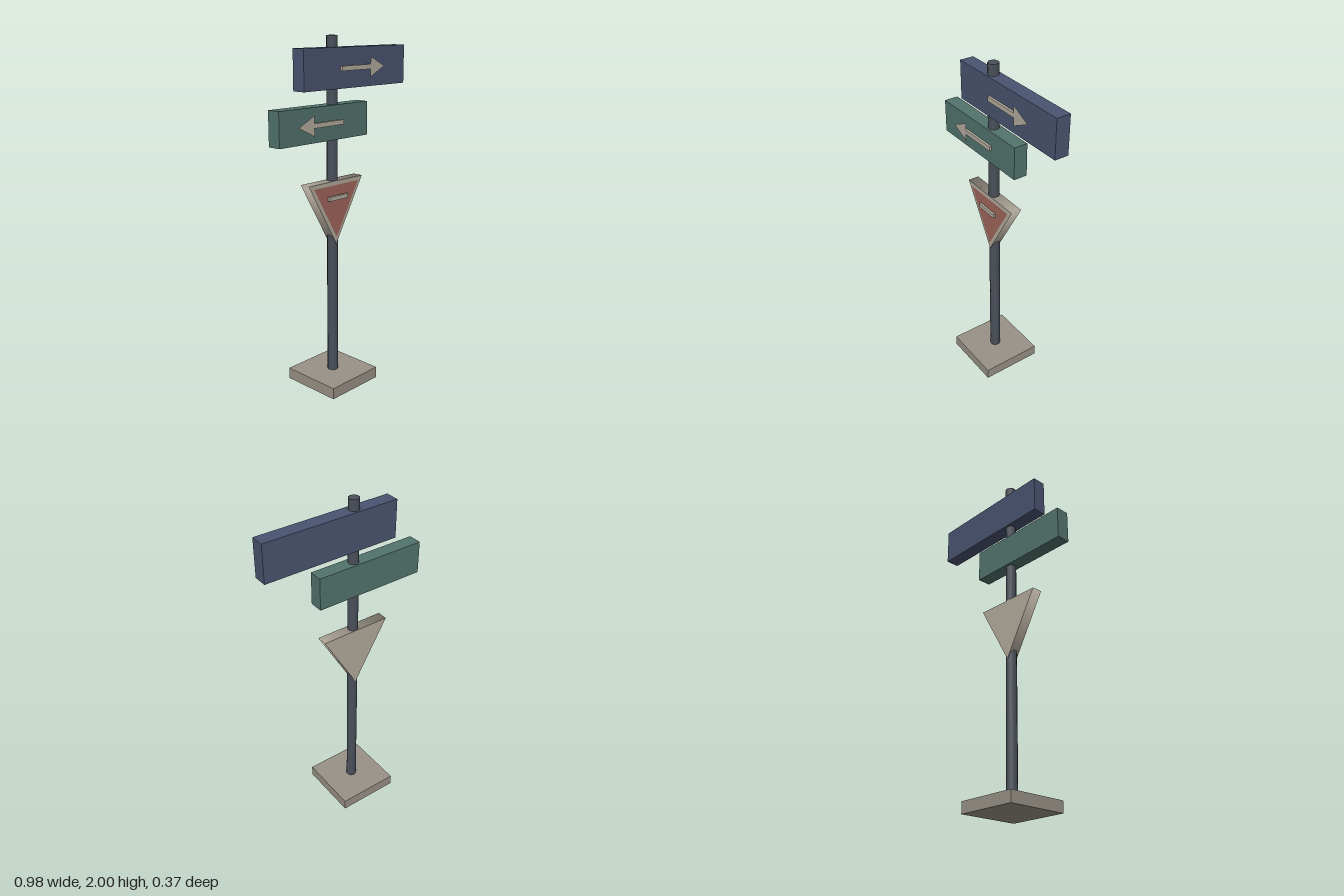
import * as THREE from 'three';

const mat = (color, extra = {}) => new THREE.MeshStandardMaterial({ color, ...extra });
const POLE_X = -0.071;

export function createModel() {
  const model = new THREE.Group();
  model.name = 'signpost';

  const steel = mat(0x4a505a);
  const stone = mat(0x989186);
  const cream = mat(0xb2aa9d);
  const creamFlat = mat(0xb2aa9d, { side: THREE.DoubleSide });
  const blue = mat(0x4a5470);
  const green = mat(0x52736d);
  const red = mat(0xa0665a, { side: THREE.DoubleSide });

  const add = (name, geometry, material, x, y, z = 0) => {
    const mesh = new THREE.Mesh(geometry, material);
    mesh.name = name;
    mesh.position.set(x, y, z);
    model.add(mesh);
    return mesh;
  };

  // box given by its x and y limits, with depth and centre z
  const slab = (name, material, x0, x1, y0, y1, depth, z = 0) =>
    add(name, new THREE.BoxGeometry(x1 - x0, y1 - y0, depth), material, (x0 + x1) / 2, (y0 + y1) / 2, z);

  // foot and pole
  slab('base', stone, POLE_X - 0.184, POLE_X + 0.184, 0, 0.066, 0.368);
  add('pole', new THREE.CylinderGeometry(0.031, 0.031, 1.95, 10), steel, POLE_X, 1.025);

  // direction boards
  slab('upperBoard', blue, -0.317, 0.489, 1.718, 1.937, 0.081);
  slab('lowerBoard', green, -0.493, 0.17, 1.446, 1.636, 0.081);

  // arrow: solid shaft with a flat triangular head just in front of it
  const arrow = (name, x, y, dir) => {
    const a = x, b = x + dir * 0.26;
    slab(name + 'Shaft', cream, Math.min(a, b), Math.max(a, b), y - 0.013, y + 0.013, 0.014, 0.048);
    const head = new THREE.Shape([
      new THREE.Vector2(0, -0.056),
      new THREE.Vector2(dir * 0.115, 0),
      new THREE.Vector2(0, 0.056),
    ]);
    add(name + 'Head', new THREE.ShapeGeometry(head), creamFlat, x + dir * 0.225, y, 0.056);
  };
  arrow('rightArrow', -0.045, 1.826, 1);
  arrow('leftArrow', -0.033, 1.54, -1);

  // triangular warning plate, point down
  add('triangleFrame', new THREE.CylinderGeometry(0.243, 0.243, 0.064, 3).rotateX(Math.PI / 2), cream, POLE_X, 1.0925);
  add('trianglePanel', new THREE.CircleGeometry(0.201, 3, -Math.PI / 2), red, POLE_X, 1.091, 0.035);
  slab('triangleBar', cream, -0.145, -0.002, 1.111, 1.135, 0.014, 0.048);

  return model;
}
